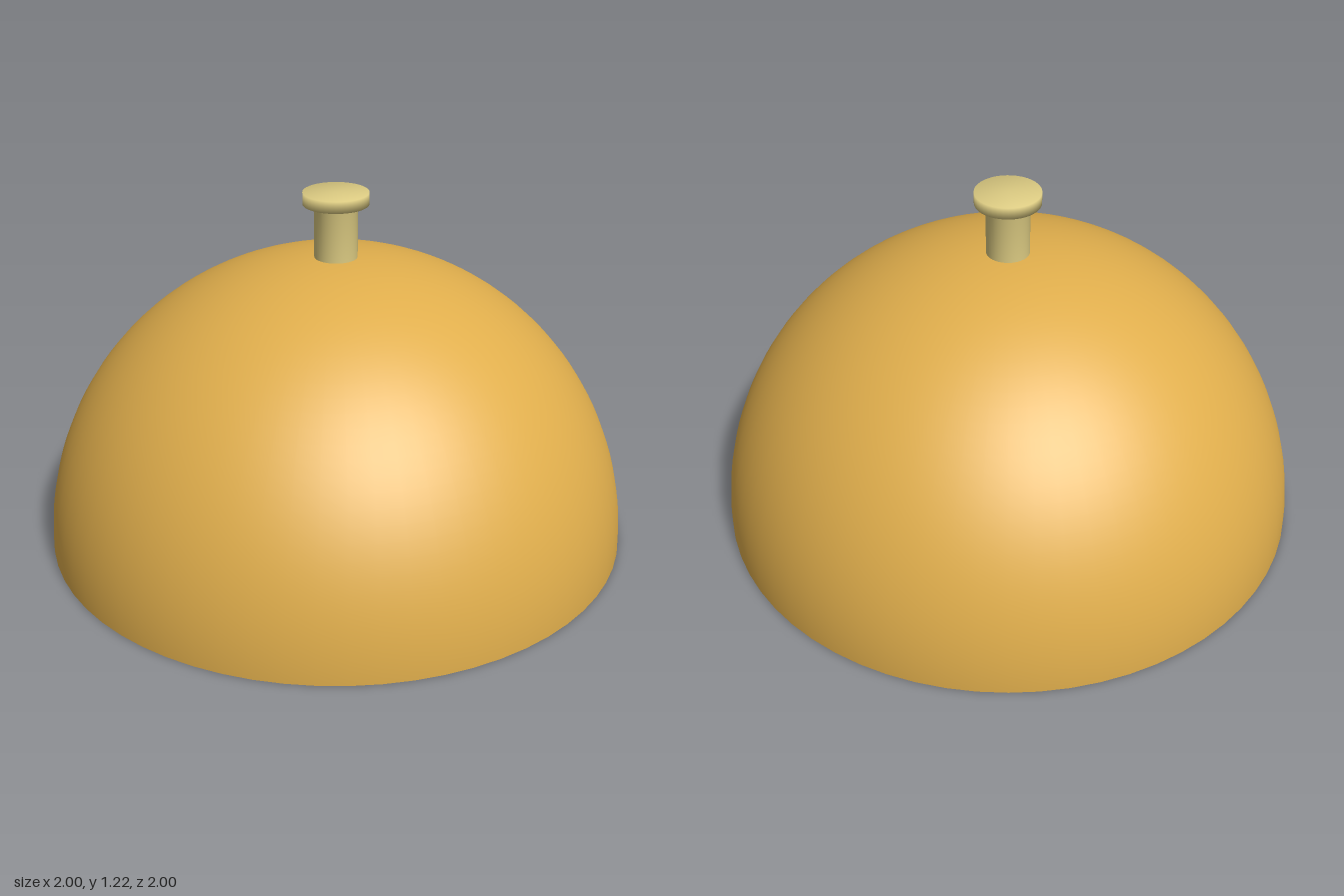
import * as THREE from 'three';

export function createModel() {
  const model = new THREE.Group();
  model.name = 'domeCover';

  const amber = new THREE.MeshStandardMaterial({ color: 0xe0ae4c, side: THREE.DoubleSide });
  amber.name = 'amber';
  const paleBrass = new THREE.MeshStandardMaterial({ color: 0xdccb82, side: THREE.DoubleSide });
  paleBrass.name = 'pale brass';

  // Open hemispherical shell
  const dome = new THREE.Mesh(
    new THREE.SphereGeometry(1, 64, 32, 0, Math.PI * 2, 0, Math.PI / 2),
    amber
  );
  dome.name = 'dome';
  model.add(dome);

  // Stem and flat cap turned as one softly shaded profile
  const profile = [
    [0.0725, 0.98],
    [0.0725, 1.18],
    [0.11, 1.18],
    [0.11, 1.22],
    [0, 1.22],
  ].map(([r, y]) => new THREE.Vector2(r, y));
  const knob = new THREE.Mesh(new THREE.LatheGeometry(profile, 40), paleBrass);
  knob.name = 'knob';
  model.add(knob);

  return model;
}
